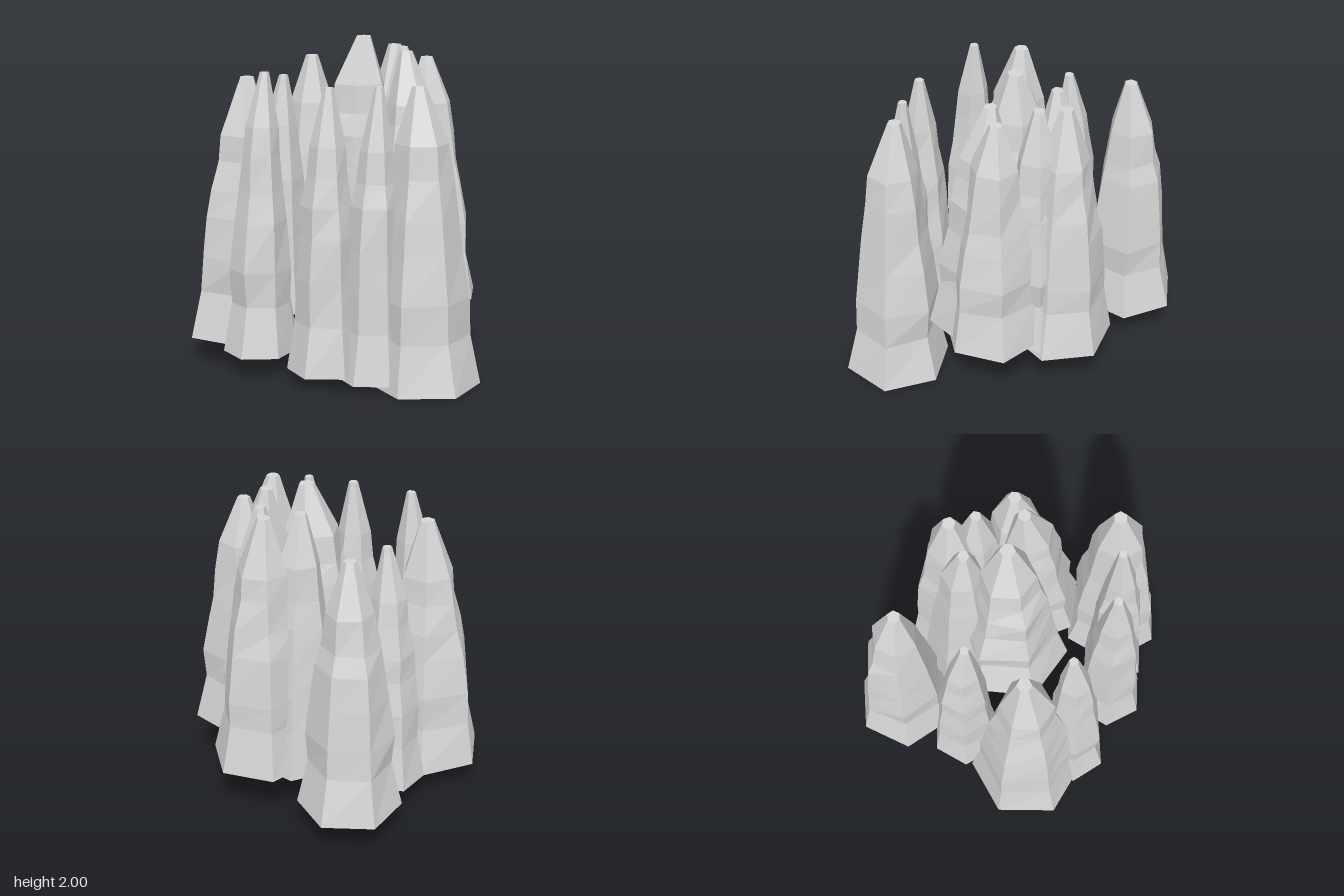
import * as THREE from 'three';

// Spires: tip and base centres, base radius, rotation in degrees
const SPIRES = [
  { tip: [0.60, 1.77, 0.355], base: [0.655, 0, 0.372], r: 0.335, rot: 33 },
  { tip: [0.40, 1.77, 0.47], base: [0.385, 0.04, 0.52], r: 0.215, rot: 35 },
  { tip: [0.13, 1.76, 0.575], base: [0.125, 0.08, 0.61], r: 0.235, rot: 35 },
  { tip: [-0.33, 1.82, 0.52], base: [-0.35, 0.12, 0.58], r: 0.22, rot: 30 },
  { tip: [-0.565, 1.76, 0.33], base: [-0.59, 0.16, 0.367], r: 0.36, rot: 3 },
  { tip: [-0.535, 1.73, -0.07], base: [-0.59, 0.195, -0.085], r: 0.225, rot: 32 },
  { tip: [-0.565, 1.815, -0.505], base: [-0.6, 0.235, -0.535], r: 0.315, rot: 28 },
  { tip: [-0.09, 1.915, -0.31], base: [-0.085, 0.27, -0.345], r: 0.285, rot: 3 },
  { tip: [0.05, 1.915, -0.48], base: [0.075, 0.305, -0.49], r: 0.325, rot: 43 },
  { tip: [0.16, 1.915, -0.365], base: [0.18, 0.345, -0.37], r: 0.27, rot: 15 },
  { tip: [0.385, 1.875, -0.23], base: [0.417, 0.385, -0.23], r: 0.315, rot: 10 },
  { tip: [0.295, 1.915, -0.12], base: [0.375, 0.42, -0.09], r: 0.32, rot: 40 },
  { tip: [0.025, 2.0, -0.085], base: [-0.03, 0.56, -0.05], r: 0.375, rot: 8 },
];

// Shared taper: [height fraction, width fraction]
const PROFILE = [
  [0, 1], [0.19, 0.82], [0.31, 0.81], [0.47, 0.72], [0.58, 0.635], [0.69, 0.53], [0.8, 0.45], [1, 0.125],
];
const SIDES = 6;

function seeded(seed) {
  let s = seed;
  return () => (s = (s * 16807) % 2147483647) / 2147483647;
}

// Six-sided rock column whose rings shrink towards the tip with uneven corners
function spireGeometry({ tip, base, r, rot }, seed) {
  const random = seeded(seed);
  const vary = (amount) => (random() - 0.5) * amount;
  const last = PROFILE.length - 1;
  const positions = [];
  const index = [];
  PROFILE.forEach(([t, f], j) => {
    const rough = j > 0 && j < last;
    const h = rough ? t + vary(0.04) : t;
    const ring = rough ? f * (1 + vary(0.06)) : f;
    for (let i = 0; i < SIDES; i++) {
      const a = THREE.MathUtils.degToRad(rot + i * 60);
      const k = rough ? ring * (1 + vary(0.12)) : ring;
      // the top ring is centred on the tip
      const drift = j === last ? 0 : k;
      positions.push(
        tip[0] + (base[0] - tip[0]) * drift + Math.cos(a) * r * k,
        base[1] + (tip[1] - base[1]) * h,
        tip[2] + (base[2] - tip[2]) * drift + Math.sin(a) * r * k,
      );
    }
  });
  const bottom = positions.length / 3;
  positions.push(...base, ...tip);
  for (let i = 0; i < SIDES; i++) {
    const n = (i + 1) % SIDES;
    for (let j = 0; j < last; j++) {
      const a = j * SIDES + i, b = j * SIDES + n;
      index.push(a, a + SIDES, b, b, a + SIDES, b + SIDES);
    }
    // bottom and top caps
    index.push(bottom, i, n);
    index.push(bottom + 1, last * SIDES + n, last * SIDES + i);
  }
  const indexed = new THREE.BufferGeometry();
  indexed.setAttribute('position', new THREE.Float32BufferAttribute(positions, 3));
  indexed.setIndex(index);
  const geometry = indexed.toNonIndexed();
  geometry.computeVertexNormals();
  return geometry;
}

export function createModel() {
  const group = new THREE.Group();
  group.name = 'rockSpires';
  const rock = new THREE.MeshStandardMaterial({ color: 0xd6d6d6, flatShading: true });
  rock.name = 'greyRock';
  SPIRES.forEach((spire, i) => {
    const mesh = new THREE.Mesh(spireGeometry(spire, 1234 + i * 7919), rock);
    mesh.name = i === SPIRES.length - 1 ? 'centralSpire' : `spire${i + 1}`;
    group.add(mesh);
  });
  return group;
}
